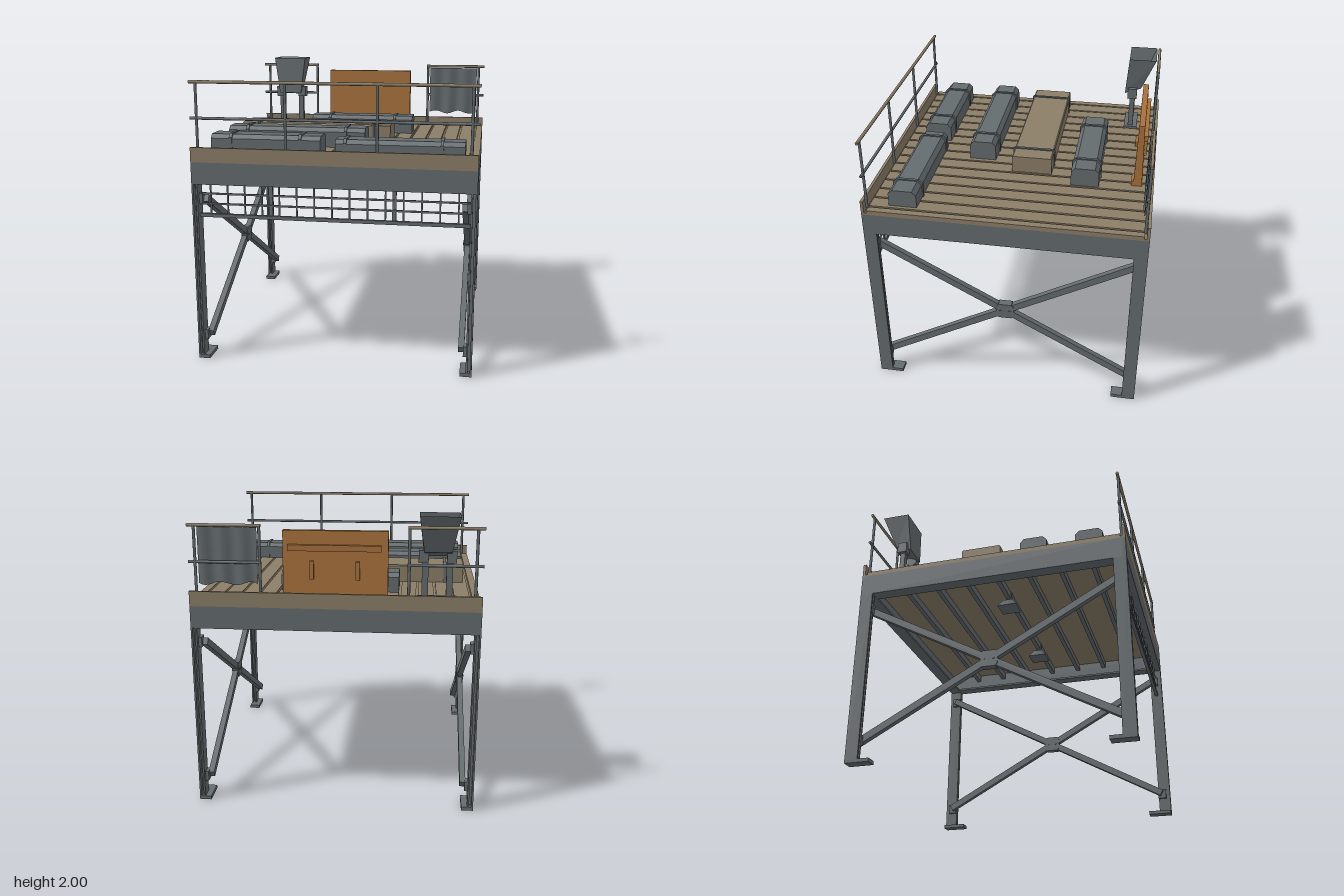
import * as THREE from 'three';

const steel = new THREE.MeshStandardMaterial({ color: 0x656c6f });
steel.name = 'steel grey';
const steelSheet = new THREE.MeshStandardMaterial({ color: 0x656c6f, side: THREE.DoubleSide });
steelSheet.name = 'steel grey sheet';
const tan = new THREE.MeshStandardMaterial({ color: 0x8c7e68 });
tan.name = 'weathered tan';
const orange = new THREE.MeshStandardMaterial({ color: 0xa8713c });
orange.name = 'rust orange';

function add(parent, name, geometry, material) {
  const mesh = new THREE.Mesh(geometry, material);
  mesh.name = name;
  parent.add(mesh);
  return mesh;
}

// Box given by its limits on each axis
function box(parent, name, mat, x0, x1, y0, y1, z0, z1) {
  const m = add(parent, name, new THREE.BoxGeometry(x1 - x0, y1 - y0, z1 - z0), mat);
  m.position.set((x0 + x1) / 2, (y0 + y1) / 2, (z0 + z1) / 2);
  return m;
}

function group(parent, name) {
  const g = new THREE.Group();
  g.name = name;
  parent.add(g);
  return g;
}

function rod(parent, name, mat, a, b, r) {
  const va = new THREE.Vector3(...a), vb = new THREE.Vector3(...b);
  const dir = vb.clone().sub(va);
  const m = add(parent, name, new THREE.CylinderGeometry(r, r, dir.length(), 8), mat);
  m.position.copy(va).add(vb).multiplyScalar(0.5);
  m.quaternion.setFromUnitVectors(new THREE.Vector3(0, 1, 0), dir.normalize());
  return m;
}

// Profile in (z, y) extruded along x from x0 to x1
function extrudeX(parent, name, mat, pts, x0, x1) {
  const shape = new THREE.Shape(pts.map(([z, y]) => new THREE.Vector2(-z, y)));
  const geo = new THREE.ExtrudeGeometry(shape, { depth: x1 - x0, bevelEnabled: false });
  geo.rotateY(Math.PI / 2);
  geo.translate(x0, 0, 0);
  return add(parent, name, geo, mat);
}

// I-section column on a foot plate
function leg(parent, sx, sz) {
  const g = group(parent, 'leg');
  box(g, 'outerFlange', steel, 0.938, 0.95, 0.02, 1.25, -0.045, 0.045);
  box(g, 'innerFlange', steel, 0.91, 0.922, 0.02, 1.25, -0.045, 0.045);
  box(g, 'web', steel, 0.922, 0.938, 0.02, 1.25, -0.008, 0.008);
  box(g, 'footPlate', steel, 0.87, 0.95, 0, 0.025, -0.125, 0.045);
  g.rotation.y = sx * sz > 0 ? 0 : Math.PI;
  if (sx * sz < 0) g.children.forEach((m) => { m.position.x *= 1; });
  g.position.z = sz * 0.905;
  // keep the long end of the foot pointing inward on every corner
  g.rotation.y = 0;
  g.children.forEach((m) => { m.position.x *= sx; m.position.z *= sz; });
}

// Crossed diagonal ties between the two legs of one side
function crossBrace(parent, sx) {
  const g = group(parent, 'crossBrace');
  const x = sx * 0.875, cy = 0.655, angle = Math.atan2(0.49, 0.89);
  for (const s of [-1, 1]) {
    const tie = add(g, 'diagonalTie', new THREE.BoxGeometry(0.04, 0.048, 2.03), steel);
    tie.position.set(x, cy, 0);
    tie.rotation.x = s * angle;
    for (const e of [-1, 1]) {
      box(g, 'endPlate', steel, sx * 0.9 - 0.012, sx * 0.9 + 0.012,
        cy + s * 0.49 - 0.035, cy + s * 0.49 + 0.035, e * 0.89 - 0.03, e * 0.89 + 0.03);
    }
    const bolt = add(g, 'bolt', new THREE.CylinderGeometry(0.009, 0.009, 0.062, 6), steel);
    bolt.rotation.z = Math.PI / 2;
    bolt.position.set(x, cy, s * 0.032);
  }
  extrudeX(g, 'centrePlate', steel, [[-0.06, 0.615], [-0.045, 0.597], [0.045, 0.597], [0.06, 0.615],
    [0.06, 0.695], [0.045, 0.713], [-0.045, 0.713], [-0.06, 0.695]], x - 0.026, x + 0.026);
}

function platform(parent) {
  const g = group(parent, 'platform');
  for (const s of [-1, 1]) {
    const at = (a, b) => [Math.min(s * a, s * b), Math.max(s * a, s * b)];
    // Perimeter channels, lips turned inward
    box(g, 'edgeBeam', steel, -0.95, 0.95, 1.25, 1.4, ...at(0.925, 0.95));
    box(g, 'edgeBeamLip', steel, -0.95, 0.95, 1.25, 1.265, ...at(0.86, 0.925));
    box(g, 'sideBeam', steel, ...at(0.925, 0.95), 1.25, 1.4, -0.925, 0.925);
    box(g, 'sideBeamLip', steel, ...at(0.86, 0.925), 1.25, 1.265, -0.86, 0.86);
    box(g, 'kickBoard', tan, -0.95, 0.95, 1.4, 1.5, ...at(0.93, 0.95));
  }
  // Decking with narrow grooves
  box(g, 'deckBase', tan, -0.95, 0.95, 1.4, 1.412, -0.93, 0.93);
  const pitch = 0.119;
  for (let i = 0; i <= 16; i++) {
    const x0 = Math.max(-0.95, -0.8925 + (i - 1) * pitch + 0.008);
    const x1 = Math.min(0.95, -0.8925 + i * pitch - 0.008);
    box(g, 'deckBoard', tan, x0, x1, 1.412, 1.432, -0.915, 0.915);
  }
  // Joists and lamps below the deck
  for (let i = -3; i <= 3; i++) {
    box(g, 'joist', steel, -0.925, 0.925, 1.345, 1.4, i * 0.23 - 0.016, i * 0.23 + 0.016);
  }
  for (const x of [-0.44, 0.44]) {
    const lamp = add(g, 'lampShade', new THREE.CylinderGeometry(0.05, 0.1, 0.06, 4), steel);
    lamp.geometry.rotateY(Math.PI / 4);
    lamp.position.set(x, 1.3, 0);
    box(g, 'lampStem', steel, x - 0.02, x + 0.02, 1.32, 1.4, -0.02, 0.02);
  }
}

// Barred skirt hanging under the front edge
function skirt(parent) {
  const g = group(parent, 'frontSkirt');
  box(g, 'bottomBar', steel, -0.91, 0.91, 1.018, 1.042, 0.89, 0.915);
  for (const y of [1.11, 1.18]) box(g, 'crossBar', steel, -0.91, 0.91, y - 0.006, y + 0.006, 0.896, 0.908);
  for (let i = -7; i <= 7; i++) {
    box(g, 'uprightBar', steel, i * 0.119 - 0.005, i * 0.119 + 0.005, 1.03, 1.25, 0.897, 0.907);
  }
  for (const x of [-0.415, 0.415]) box(g, 'hanger', steel, x - 0.013, x + 0.013, 1.03, 1.25, 0.885, 0.905);
}

function railing(parent, name, z, x0, x1, posts) {
  const g = group(parent, name);
  for (const x of posts) rod(g, 'post', steel, [x, 1.43, z], [x, 1.93, z], 0.01);
  rod(g, 'middleRail', steel, [x0, 1.692, z], [x1, 1.692, z], 0.01);
  rod(g, 'topRail', tan, [x0, 1.931, z], [x1, 1.931, z], 0.011);
}

// Strapped long case with bevelled upper edges
function longCase(parent, x0, x1, z0, z1, top, straps, mat = steel, c = 0.028) {
  const g = group(parent, 'longCase');
  const profile = (o) => [[z0 - o, 1.43], [z1 + o, 1.43], [z1 + o, top - c + o],
    [z1 - c + o, top + o], [z0 + c - o, top + o], [z0 - o, top - c + o]];
  extrudeX(g, 'caseBody', mat, profile(0), x0, x1);
  for (const x of straps) extrudeX(g, 'strap', steel, profile(0.008), x - 0.01, x + 0.01);
}

// Open funnel carried by two posts
function hopper(parent) {
  const g = group(parent, 'hopper');
  const rings = [
    [[-0.8, 2, -0.7], [-0.54, 2, -0.7], [-0.54, 2, -0.9], [-0.8, 2, -0.9]],
    [[-0.755, 1.71, -0.68], [-0.575, 1.71, -0.68], [-0.575, 1.755, -0.8], [-0.755, 1.755, -0.8]],
  ];
  const pos = [];
  const quad = (a, b, c, d) => pos.push(...a, ...b, ...c, ...a, ...c, ...d);
  for (let i = 0; i < 4; i++) {
    const j = (i + 1) % 4;
    quad(rings[1][i], rings[1][j], rings[0][j], rings[0][i]);
  }
  quad(rings[1][3], rings[1][2], rings[1][1], rings[1][0]);
  const geo = new THREE.BufferGeometry();
  geo.setAttribute('position', new THREE.Float32BufferAttribute(pos, 3));
  geo.computeVertexNormals();
  add(g, 'funnel', geo, steelSheet);
  for (const s of [-1, 1]) {
    const x = -0.663 + s * 0.08;
    box(g, 'post', steel, x - 0.021, x + 0.021, 1.43, 1.7, -0.757, -0.72);
    const sx = -0.663 + s * 0.092;
    box(g, 'sleeve', steel, sx - 0.032, sx + 0.032, 1.68, 1.76, -0.772, -0.702);
  }
  box(g, 'basePlate', steel, -0.79, -0.535, 1.43, 1.446, -0.79, -0.69);
}

function panel(parent) {
  const g = group(parent, 'standingPanel');
  extrudeX(g, 'board', orange, [[-0.87, 1.435], [-0.81, 1.435], [-0.82, 1.895], [-0.858, 1.895]], -0.345, 0.34);
  box(g, 'backRail', orange, -0.3, 0.305, 1.765, 1.805, -0.885, -0.855);
  for (const s of [-1, 1]) {
    box(g, 'handle', orange, s * 0.15 - 0.013, s * 0.15 + 0.013, 1.58, 1.7, -0.884, -0.86);
    box(g, 'foot', orange, s * 0.288 - 0.052, s * 0.288 + 0.052, 1.432, 1.47, -0.868, -0.795);
  }
}

// Rippled sheet hung on the rear railing
function curtain(parent) {
  const geo = new THREE.PlaneGeometry(0.39, 0.37, 18, 4);
  const p = geo.attributes.position;
  for (let i = 0; i < p.count; i++) {
    const x = p.getX(i), y = p.getY(i), t = (x / 0.39 + 0.5) * Math.PI * 2;
    p.setZ(i, 0.011 * Math.sin(t * 3) * (0.7 - y));
    if (y < -0.18) p.setY(i, y + 0.012 * Math.sin(t * 2));
  }
  geo.computeVertexNormals();
  add(parent, 'hangingSheet', geo, steelSheet).position.set(0.695, 1.732, -0.9);
}

export function createModel() {
  const model = new THREE.Group();
  model.name = 'equipmentPlatform';
  for (const sx of [-1, 1]) {
    for (const sz of [-1, 1]) leg(model, sx, sz);
    crossBrace(model, sx);
  }
  platform(model);
  skirt(model);
  railing(model, 'frontRailing', 0.92, -0.95, 0.95, [-0.905, -0.302, 0.302, 0.905]);
  railing(model, 'rearRailingRight', -0.92, -0.95, -0.47, [-0.905, -0.48]);
  railing(model, 'rearRailingLeft', -0.92, 0.47, 0.95, [0.48, 0.905]);
  longCase(model, -0.86, -0.1, 0.593, 0.785, 1.567, [-0.72, -0.24]);
  longCase(model, 0, 0.86, 0.593, 0.785, 1.55, [0.066, 0.71]);
  longCase(model, -0.86, 0.14, 0.2, 0.39, 1.57, [-0.72, 0]);
  longCase(model, -0.41, 0.4, -0.575, -0.38, 1.565, [-0.265, 0.26]);
  longCase(model, -0.86, 0.28, -0.23, 0.055, 1.553, [-0.73, 0.15], tan, 0.008);
  hopper(model);
  panel(model);
  curtain(model);
  return model;
}
